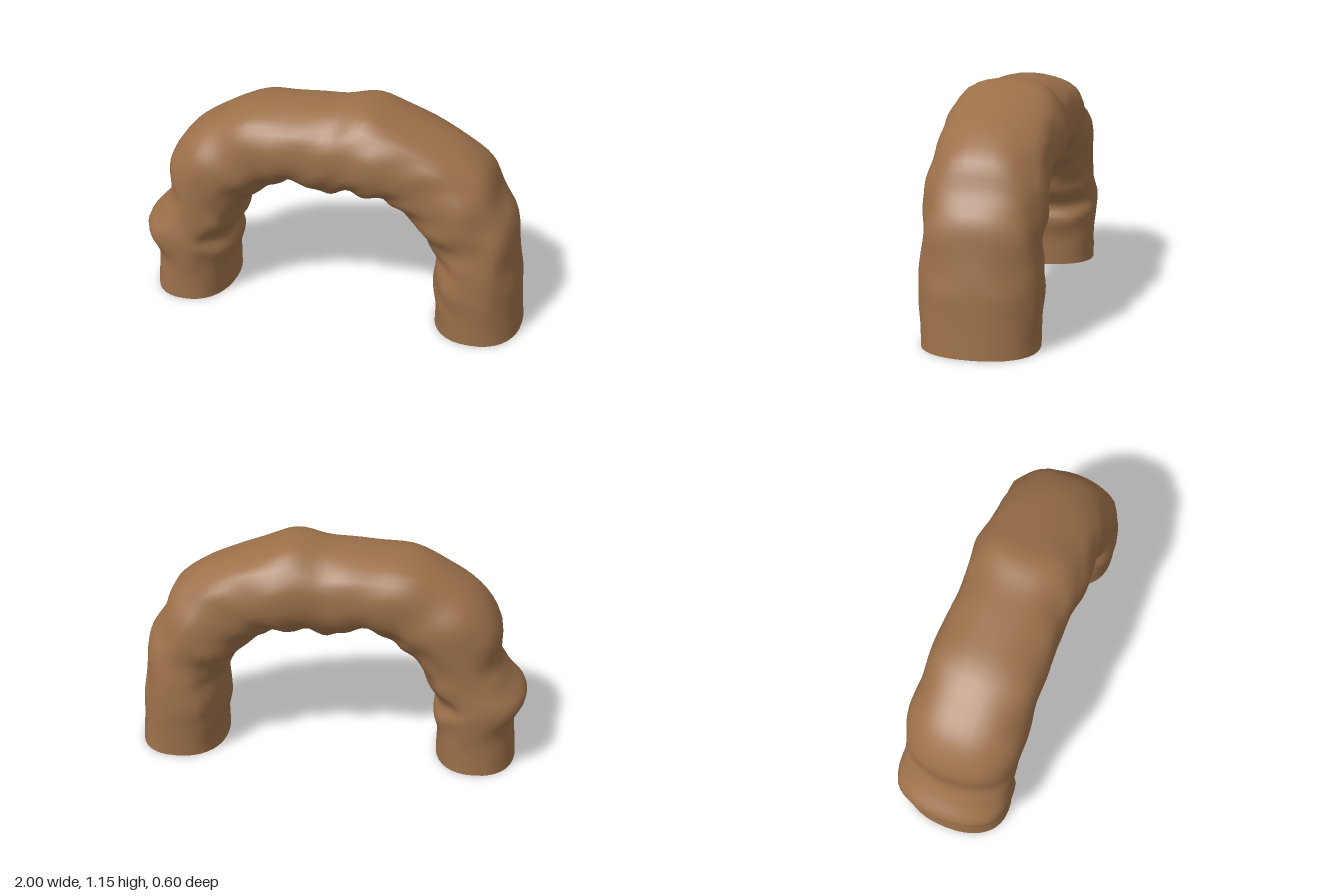
import * as THREE from 'three';

// Arch stations from right foot to left foot: inner x, y, outer x, y, half depth
const STATIONS = [
  [-0.55, 0, -0.96, 0, 0.28], [-0.55, 0.15, -0.95, 0.12, 0.28],
  [-0.53, 0.26, -0.945, 0.24, 0.292], [-0.55, 0.34, -1, 0.37, 0.297],
  [-0.48, 0.43, -0.92, 0.47, 0.285], [-0.46, 0.52, -0.865, 0.56, 0.283],
  [-0.39, 0.59, -0.855, 0.73, 0.29], [-0.33, 0.64, -0.75, 0.9, 0.295],
  [-0.25, 0.67, -0.6, 1.0, 0.28], [-0.17, 0.71, -0.42, 1.09, 0.285],
  [-0.08, 0.68, -0.2, 1.115, 0.278], [0, 0.66, 0, 1.125, 0.273],
  [0.09, 0.68, 0.16, 1.15, 0.283], [0.18, 0.675, 0.32, 1.11, 0.299],
  [0.27, 0.67, 0.5, 1.045, 0.285], [0.33, 0.64, 0.67, 0.97, 0.273],
  [0.42, 0.57, 0.79, 0.87, 0.285], [0.49, 0.5, 0.85, 0.73, 0.292],
  [0.53, 0.42, 0.925, 0.62, 0.275], [0.55, 0.36, 0.95, 0.46, 0.285],
  [0.53, 0.24, 0.97, 0.32, 0.294], [0.55, 0.13, 0.98, 0.18, 0.285],
  [0.55, 0, 0.995, 0, 0.28],
];
const SIDES = 36, RINGS = 88;

// Rounded-box curve: pushes cosine/sine slightly toward the corners
const bulge = (v) => Math.sign(v) * Math.pow(Math.abs(v), 0.87);

// Weathered bumps, the same on the front and back
const bump = (t, a) => {
  const c = Math.cos(a), s = Math.abs(Math.sin(a));
  const fade = Math.min(1, t * 12, (1 - t) * 12);
  return fade * s * (
    0.022 * Math.sin(t * 47 + c * 4) * Math.cos(t * 21 - c * 3)
    + 0.014 * Math.sin(t * 88 - c * 6 + 1.3) * (1 - 0.6 * c)
    + 0.01 * Math.sin(t * 33 + c * 9));
};

function archGeometry() {
  const inner = new THREE.CatmullRomCurve3(STATIONS.map((s) => new THREE.Vector3(s[0], s[1], 0)));
  const outer = new THREE.CatmullRomCurve3(STATIONS.map((s) => new THREE.Vector3(s[2], s[3], s[4])));
  const positions = [], index = [];
  for (let i = 0; i <= RINGS; i++) {
    const t = i / RINGS;
    const p = inner.getPoint(t), q = outer.getPoint(t);
    for (let j = 0; j < SIDES; j++) {
      const a = (j / SIDES) * Math.PI * 2;
      const k = 1 + bump(t, a) * 2;
      const r = 0.5 + 0.5 * bulge(Math.cos(a)) * k;
      const depth = q.z * bulge(Math.sin(a)) * (1 + (k - 1) * Math.abs(Math.cos(a)));
      positions.push(p.x + (q.x - p.x) * r, Math.max(0, p.y + (q.y - p.y) * r), depth);
      if (i < RINGS) {
        const b = i * SIDES + j, n = i * SIDES + ((j + 1) % SIDES);
        index.push(b, n, b + SIDES, n, n + SIDES, b + SIDES);
      }
    }
  }
  const geometry = new THREE.BufferGeometry();
  geometry.setAttribute('position', new THREE.Float32BufferAttribute(positions, 3));
  geometry.setIndex(index);
  geometry.computeVertexNormals();
  return geometry;
}

export function createModel() {
  const group = new THREE.Group();
  group.name = 'rockArch';
  // Open feet, so the inside shows from below
  const rock = new THREE.MeshStandardMaterial({ color: 0x9c704a, side: THREE.DoubleSide });
  rock.name = 'brownRock';
  const arch = new THREE.Mesh(archGeometry(), rock);
  arch.name = 'arch';
  group.add(arch);
  return group;
}
